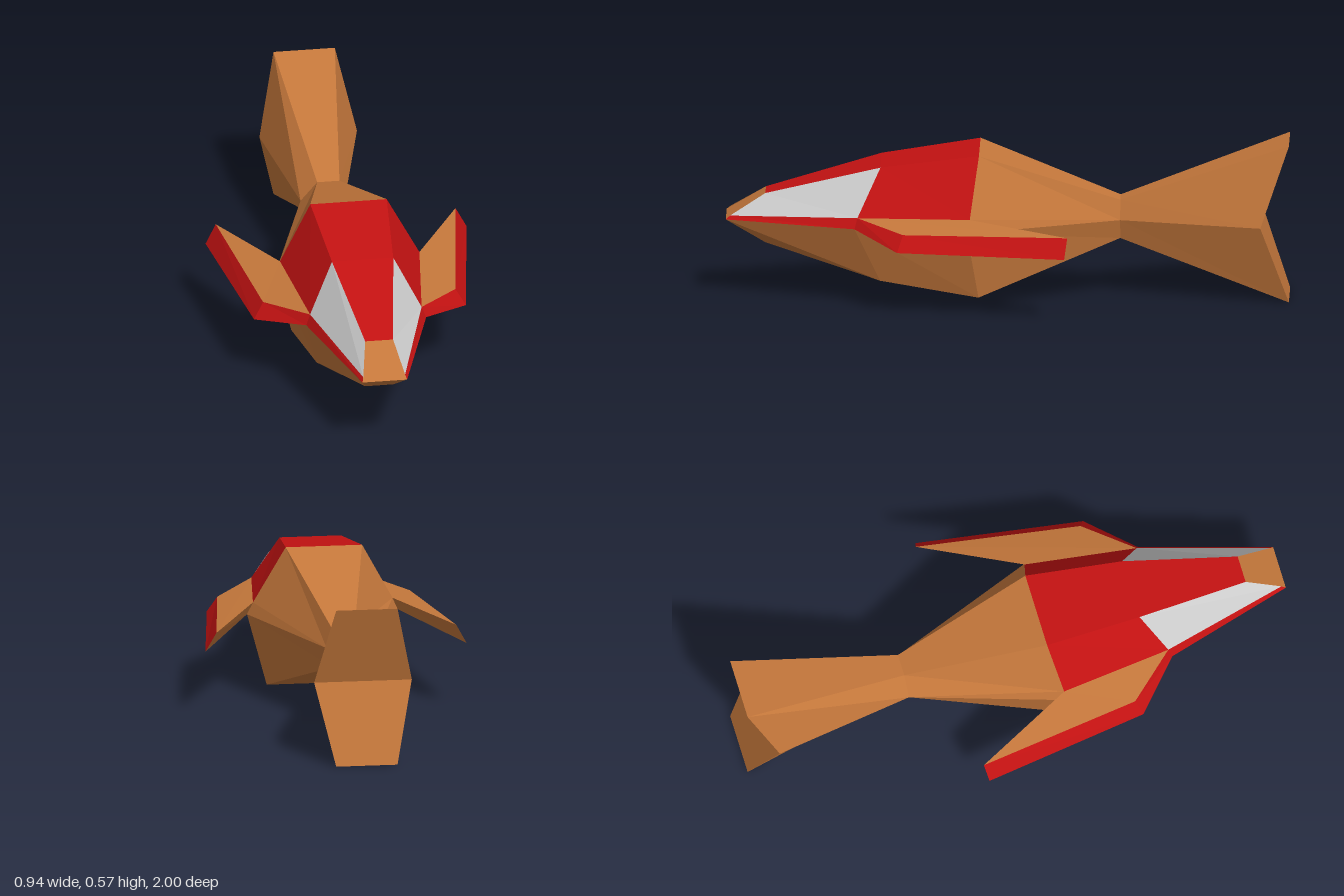
import * as THREE from 'three';

const material = (color) => new THREE.MeshStandardMaterial({ color, flatShading: true, side: THREE.DoubleSide });
const BROWN = material(0xc4773b);
const RED = material(0xc41212);
const GREY = material(0xcccccc);

// Long edges of the hull on the +x side, listed from nose to tail
const TOP = [[0.05, 0.38, 0.86], [0.11, 0.49, 0.45], [0.137, 0.54, 0.1], [0.04, 0.36, -0.4], [0.11, 0.575, -1]];
const SILL = [[0.075, 0.303, 0.985], [0.2, 0.327, 0.53], [0.25, 0.335, 0.13], [0.06, 0.29, -0.4], [0.175, 0.29, -0.9]];
const CHINE = [[0.08, 0.29, 1], [0.215, 0.29, 0.54], [0.27, 0.29, 0.14], SILL[3], SILL[4]];
const KEEL = [[0.05, 0.2, 0.86], [0.165, 0.09, 0.45], [0.205, 0.04, 0.1], [0.04, 0.22, -0.4], [0.11, 0.005, -1]];

// Wing tip corners
const UP_FRONT = [0.345, 0.302, 0.365], UP_REAR = [0.43, 0.315, -0.22];
const LOW_FRONT = [0.38, 0.245, 0.385], LOW_REAR = [0.468, 0.245, -0.21];

// Mirror a point; the waist is wider on the -x side
const mirror = (p) => [p === SILL[3] ? -0.1 : -p[0], p[1], p[2]];

// Mesh from flat polygons, each fanned into triangles
function panels(name, mat, polygons) {
  const positions = [];
  for (const poly of polygons) {
    for (let i = 1; i < poly.length - 1; i++) positions.push(...poly[0], ...poly[i], ...poly[i + 1]);
  }
  const geometry = new THREE.BufferGeometry();
  geometry.setAttribute('position', new THREE.Float32BufferAttribute(positions, 3));
  geometry.computeVertexNormals();
  const mesh = new THREE.Mesh(geometry, mat);
  mesh.name = name;
  return mesh;
}

// Panel between two edges, from station i to the next
const side = (upper, lower, i) => [upper[i], lower[i], lower[i + 1], upper[i + 1]];
// Panel across the hull between both copies of one edge
const across = (edge, i) => [mirror(edge[i]), edge[i], edge[i + 1], mirror(edge[i + 1])];
// Panel across the hull between two points and their mirrors
const cap = (a, b) => [mirror(a), mirror(b), b, a];

export function createModel() {
  const model = new THREE.Group();
  model.name = 'aircraft';

  // Centre panels of the hull
  const hull = new THREE.Group();
  hull.name = 'hull';
  hull.add(
    panels('nose', BROWN, [cap(TOP[0], CHINE[0]), cap(CHINE[0], KEEL[0])]),
    panels('roof', RED, [across(TOP, 0), across(TOP, 1)]),
    panels('rearDeck', BROWN, [across(TOP, 2)]),
    panels('belly', BROWN, [0, 1, 2].map((i) => across(KEEL, i).reverse())),
    panels('tailCentre', BROWN, [
      across(TOP, 3), across(KEEL, 3).reverse(),
      cap(TOP[4], SILL[4]).reverse(), cap(SILL[4], KEEL[4]).reverse(),
    ]),
  );
  model.add(hull);

  // Side panels and wing, built for +x and mirrored for -x
  for (const left of [true, false]) {
    const prefix = left ? 'left' : 'right';
    const flank = new THREE.Group();
    flank.name = prefix + 'Side';
    const add = (name, mat, polys) => flank.add(panels(prefix + name, mat,
      left ? polys : polys.map((poly) => poly.map(mirror).reverse())));

    add('Window', GREY, [side(TOP, SILL, 0)]);
    add('WindowSill', RED, [side(SILL, CHINE, 0)]);
    add('Shoulder', RED, [side(TOP, SILL, 1)]);
    add('RearFlank', BROWN, [side(TOP, SILL, 2), [SILL[2], CHINE[2], SILL[3]]]);
    add('NoseCorner', BROWN, [[TOP[0], CHINE[0], SILL[0]]]);
    add('LowerFlank', BROWN, [0, 1, 2].map((i) => side(CHINE, KEEL, i)));
    add('Tail', BROWN, [side(TOP, SILL, 3), side(CHINE, KEEL, 3)]);

    // Swept wing with a red outer edge
    add('Wing', BROWN, [
      [SILL[1], UP_FRONT, UP_REAR, SILL[2]],
      [CHINE[1], CHINE[2], LOW_REAR, LOW_FRONT],
      [UP_REAR, LOW_REAR, CHINE[2], SILL[2]],
    ]);
    add('WingEdge', RED, [
      [SILL[1], CHINE[1], LOW_FRONT, UP_FRONT],
      [UP_FRONT, LOW_FRONT, LOW_REAR, UP_REAR],
    ]);
    model.add(flank);
  }
  return model;
}
